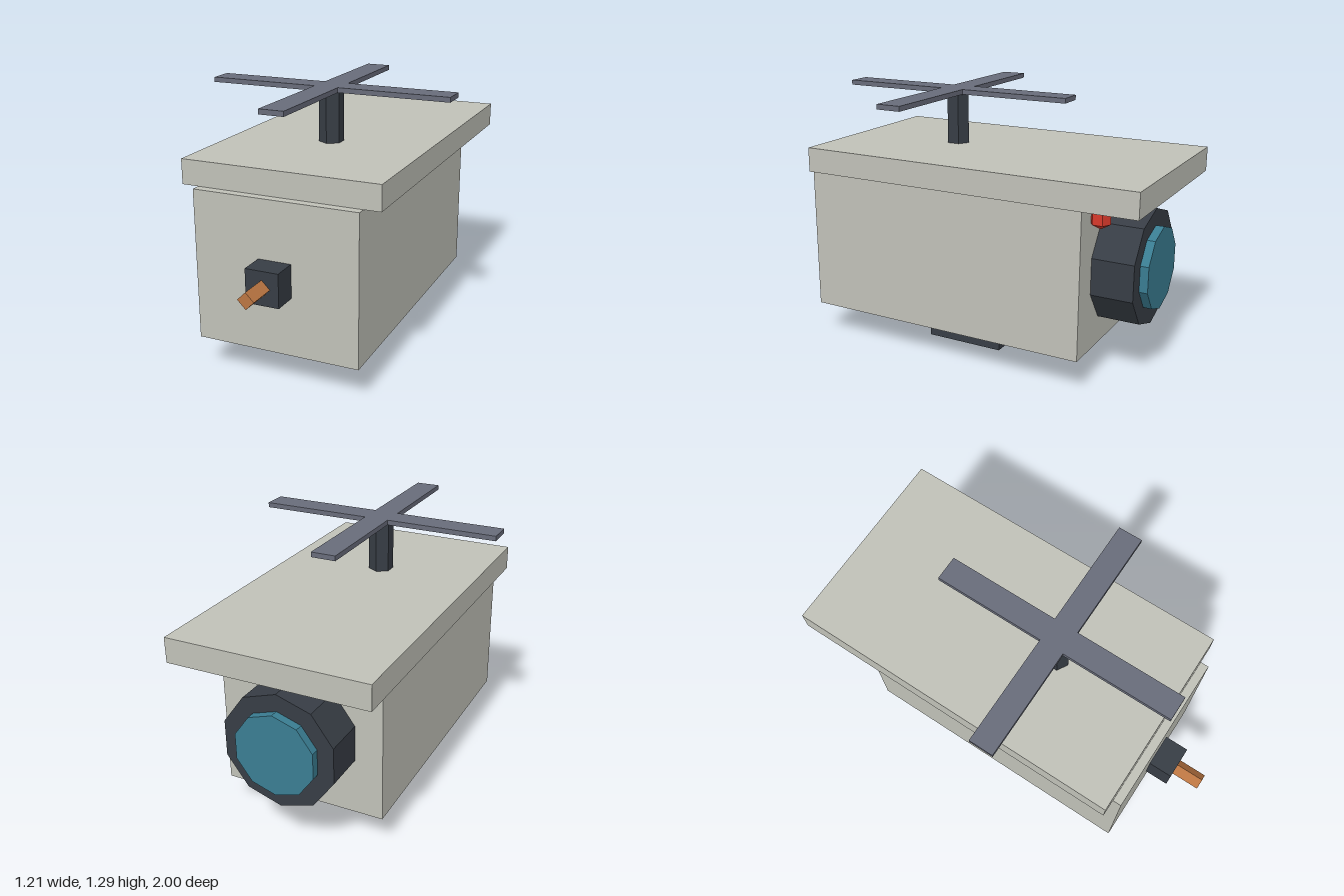
import * as THREE from 'three';

const flat = (name, color) => {
  const m = new THREE.MeshStandardMaterial({ color });
  m.name = name;
  return m;
};

export function createModel() {
  const group = new THREE.Group();
  const shell = flat('warm grey shell', 0xc0c1b8);
  const dark = flat('dark slate', 0x373d45);
  const blade = flat('blue grey', 0x686c7a);
  const copper = flat('copper', 0xba7542);
  const glass = flat('teal glass', 0x3a7d92);
  const red = flat('red', 0xd93a2b);

  const add = (name, geo, mat, x = 0, y = 0, z = 0) => {
    const mesh = new THREE.Mesh(geo, mat);
    mesh.name = name;
    mesh.position.set(x, y, z);
    group.add(mesh);
    return mesh;
  };
  // Box given by width and its y and z limits, centred on x
  const box = (name, mat, w, y0, y1, z0, z1) =>
    add(name, new THREE.BoxGeometry(w, y1 - y0, z1 - z0), mat, 0, (y0 + y1) / 2, (z0 + z1) / 2);
  // Faceted prism along z, with a corner pointing up
  const prismZ = (name, mat, r, sides, y, z0, z1) => {
    const geo = new THREE.CylinderGeometry(r, r, z1 - z0, sides).toNonIndexed();
    geo.rotateX(-Math.PI / 2);
    geo.computeVertexNormals();
    return add(name, geo, mat, 0, y, (z0 + z1) / 2);
  };

  // Housing
  box('mountFoot', dark, 0.32, 0, 0.163, -0.19, 0.213);
  box('body', shell, 0.806, 0.163, 0.892, -0.715, 0.74);
  box('roofCover', shell, 0.97, 0.892, 1.012, -1, 0.697);

  // Front connector
  box('connectorBlock', dark, 0.162, 0.447, 0.609, 0.74, 0.86);
  prismZ('connectorPin', copper, 0.04, 4, 0.528, 0.86, 1);

  // Rear lens
  prismZ('lensBarrel', dark, 0.283, 10, 0.528, -0.917, -0.715);
  prismZ('lensGlass', glass, 0.201, 10, 0.528, -0.957, -0.917);

  // Faceted indicator lamp beside the lens
  const lampGeo = new THREE.SphereGeometry(0.055, 6, 3).toNonIndexed();
  lampGeo.rotateY(Math.PI / 2);
  lampGeo.computeVertexNormals();
  add('indicatorLamp', lampGeo, red, 0.28, 0.817, -0.756);

  // Six-sided rotor mast
  const mastGeo = new THREE.CylinderGeometry(0.06, 0.06, 0.243, 6).toNonIndexed();
  mastGeo.computeVertexNormals();
  add('mast', mastGeo, dark, 0, 1.1335, 0.132);

  // Cross-shaped rotor, cut as one plate
  const a = 0.06, b = 0.606;
  const cross = new THREE.Shape([
    [a, a], [a, b], [-a, b], [-a, a], [-b, a], [-b, -a],
    [-a, -a], [-a, -b], [a, -b], [a, -a], [b, -a], [b, a],
  ].map(([x, y]) => new THREE.Vector2(x, y)));
  const rotorGeo = new THREE.ExtrudeGeometry(cross, { depth: 0.024, bevelEnabled: false });
  rotorGeo.rotateX(-Math.PI / 2);
  add('rotorBlades', rotorGeo, blade, 0, 1.262, 0.132);

  return group;
}
